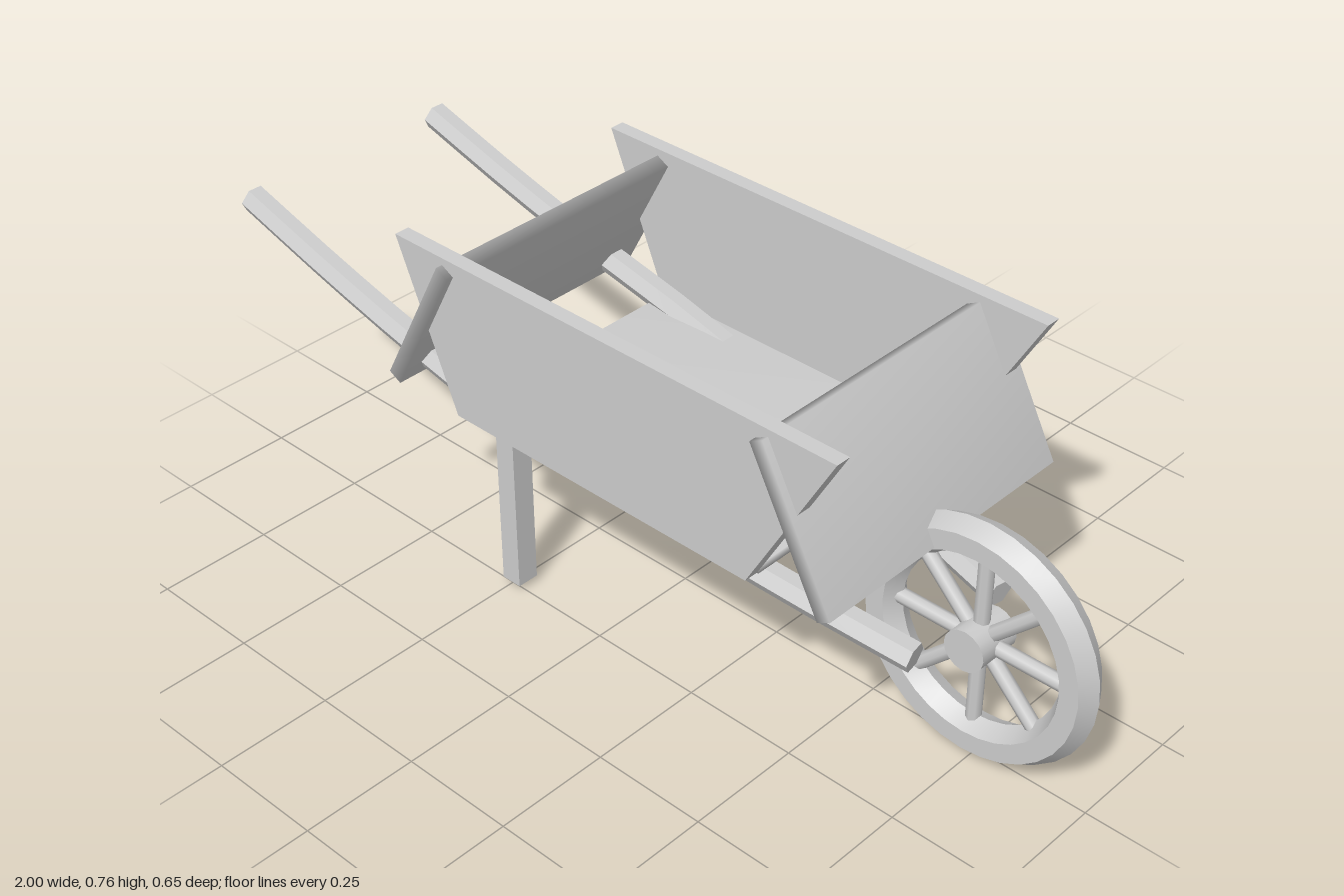
import * as THREE from 'three';
import { mergeVertices, toCreasedNormals } from 'three/addons/utils/BufferGeometryUtils.js';

const grey = new THREE.MeshStandardMaterial({ color: 0xcccccc });
grey.name = 'plain grey';

function add(parent, name, geometry, x = 0, y = 0, z = 0) {
  const mesh = new THREE.Mesh(geometry, grey);
  mesh.name = name;
  mesh.position.set(x, y, z);
  parent.add(mesh);
  return mesh;
}

// Board whose faces share their corner normals, for soft shading
function softBoard(w, h, d) {
  const box = new THREE.BoxGeometry(w, h, d);
  box.deleteAttribute('normal');
  box.deleteAttribute('uv');
  const g = mergeVertices(box);
  g.clearGroups();
  g.computeVertexNormals();
  return g;
}

// Hexagonal bar swept along a curve, closed at both ends
function hexBar(points, radius, steps) {
  const curve = new THREE.CatmullRomCurve3(points);
  const pos = [], index = [];
  for (let i = 0; i <= steps; i++) {
    const p = curve.getPointAt(i / steps);
    const t = curve.getTangentAt(i / steps);
    const side = new THREE.Vector3(0, 0, 1).addScaledVector(t, -t.z).normalize();
    const up = new THREE.Vector3().crossVectors(side, t);
    for (let j = 0; j < 6; j++) {
      const a = j * Math.PI / 3;
      const v = p.clone().addScaledVector(side, Math.cos(a) * radius)
        .addScaledVector(up, Math.sin(a) * radius);
      pos.push(v.x, v.y, v.z);
      if (i < steps) {
        const k = i * 6 + j, l = i * 6 + (j + 1) % 6;
        index.push(k, k + 6, l, l, k + 6, l + 6);
      }
    }
  }
  const end = steps * 6;
  for (let j = 1; j < 5; j++) {
    index.push(0, j, j + 1, end, end + j + 1, end + j);
  }
  const g = new THREE.BufferGeometry();
  g.setAttribute('position', new THREE.Float32BufferAttribute(pos, 3));
  g.setIndex(index);
  return toCreasedNormals(g, 0.5);
}

export function createModel() {
  const model = new THREE.Group();
  model.name = 'wheelbarrow';

  // Tray: floor, two flared sides, two leaning end boards
  const tray = new THREE.Group();
  tray.name = 'tray';
  model.add(tray);
  add(tray, 'floor', softBoard(0.755, 0.018, 0.55), 0.059, 0.419, 0);

  const sideShape = new THREE.Shape([
    [-0.318, 0.414], [0.436, 0.414], [0.634, 0.765], [-0.468, 0.765],
  ].map(([x, y]) => new THREE.Vector2(x, y)));
  const sideGeo = new THREE.ExtrudeGeometry(sideShape, { depth: 0.033, bevelEnabled: false });
  add(tray, 'frontSidePanel', sideGeo, 0, 0, 0.277);
  add(tray, 'backSidePanel', sideGeo, 0, 0, -0.31);

  const boardGeo = softBoard(0.033, 0.347, 0.65);
  add(tray, 'handleEndBoard', boardGeo, -0.404, 0.589, 0).rotation.z = -0.49;
  add(tray, 'wheelEndBoard', boardGeo, 0.549, 0.589, 0).rotation.z = 0.49;

  // Handles and legs, one of each per side
  for (const s of [1, -1]) {
    const path = [
      [-0.993, 0.616, 0.253], [-0.75, 0.544, 0.253], [-0.49, 0.477, 0.253],
      [-0.25, 0.427, 0.251], [0, 0.382, 0.229], [0.2, 0.345, 0.2],
      [0.44, 0.304, 0.166], [0.685, 0.265, 0.126],
    ].map(([x, y, z]) => new THREE.Vector3(x, y, z * s));
    add(model, 'handle', hexBar(path, 0.031, 16));
    add(model, 'leg', new THREE.BoxGeometry(0.047, 0.35, 0.049), -0.241, 0.189, s * 0.238);
  }

  // Wheel: hexagonal-section rim, eight spokes, hub
  const wheel = new THREE.Group();
  wheel.name = 'wheel';
  wheel.position.set(0.737, 0.263, 0);
  model.add(wheel);
  add(wheel, 'rim', toCreasedNormals(new THREE.TorusGeometry(0.2215, 0.0415, 6, 32), 0.6));
  const hub = toCreasedNormals(new THREE.CylinderGeometry(0.045, 0.045, 0.1, 16), 0.6);
  add(wheel, 'hub', hub).rotation.x = Math.PI / 2;
  const spokeGeo = new THREE.CylinderGeometry(0.016, 0.016, 0.17, 8);
  for (let i = 0; i < 8; i++) {
    const a = i * Math.PI / 4;
    add(wheel, 'spoke', spokeGeo, Math.cos(a) * 0.115, Math.sin(a) * 0.115, 0)
      .rotation.z = a - Math.PI / 2;
  }
  return model;
}
